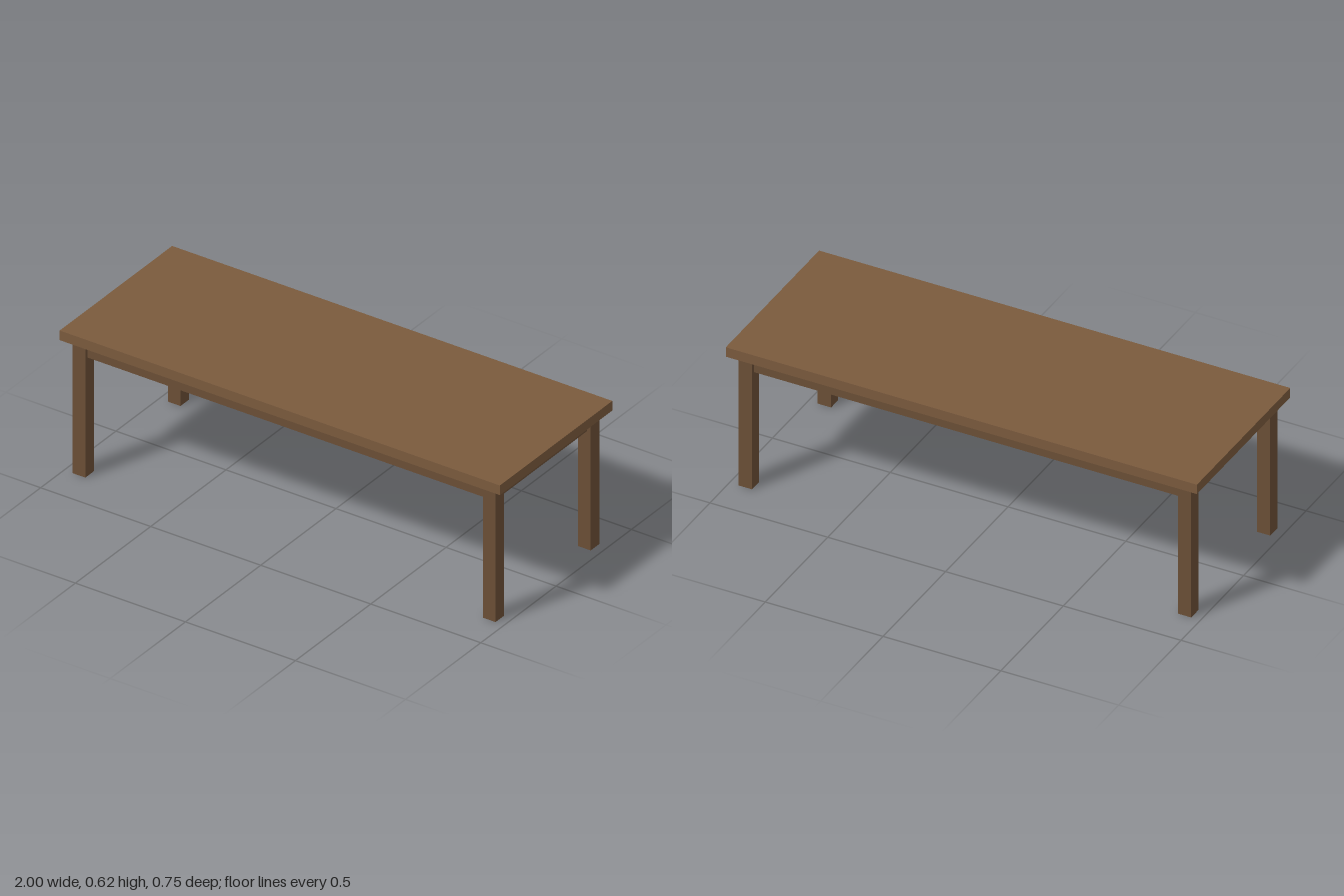
import * as THREE from 'three';

const TOP_Y = 0.625, TOP_T = 0.042, UNDER = TOP_Y - TOP_T;
const LEG = 0.057, LEG_X = 0.932, LEG_Z = 0.316;
const APRON_H = 0.066, APRON_T = 0.025;

export function createModel() {
  const group = new THREE.Group();
  group.name = 'table';
  const topWood = new THREE.MeshStandardMaterial({ color: 0x7a5a3d });
  const frameWood = new THREE.MeshStandardMaterial({ color: 0x6b4f36 });

  const box = (name, size, pos, material) => {
    const mesh = new THREE.Mesh(new THREE.BoxGeometry(...size), material);
    mesh.name = name;
    mesh.position.set(...pos);
    group.add(mesh);
  };

  // Table top
  box('tableTop', [2, TOP_T, 0.747], [0, TOP_Y - TOP_T / 2, 0], topWood);

  // Four square legs
  for (const [sx, side] of [[1, 'Left'], [-1, 'Right']]) {
    for (const [sz, end] of [[1, 'front'], [-1, 'back']]) {
      box(`${end}${side}Leg`, [LEG, UNDER, LEG], [sx * LEG_X, UNDER / 2, sz * LEG_Z], frameWood);
    }
  }

  // Aprons between the legs, centred on the leg thickness
  const apronY = UNDER - APRON_H / 2;
  for (const [s, end, side] of [[1, 'front', 'left'], [-1, 'back', 'right']]) {
    box(`${end}Apron`, [2 * LEG_X - LEG, APRON_H, APRON_T], [0, apronY, s * LEG_Z], frameWood);
    box(`${side}Apron`, [APRON_T, APRON_H, 2 * LEG_Z - LEG], [s * LEG_X, apronY, 0], frameWood);
  }

  return group;
}
